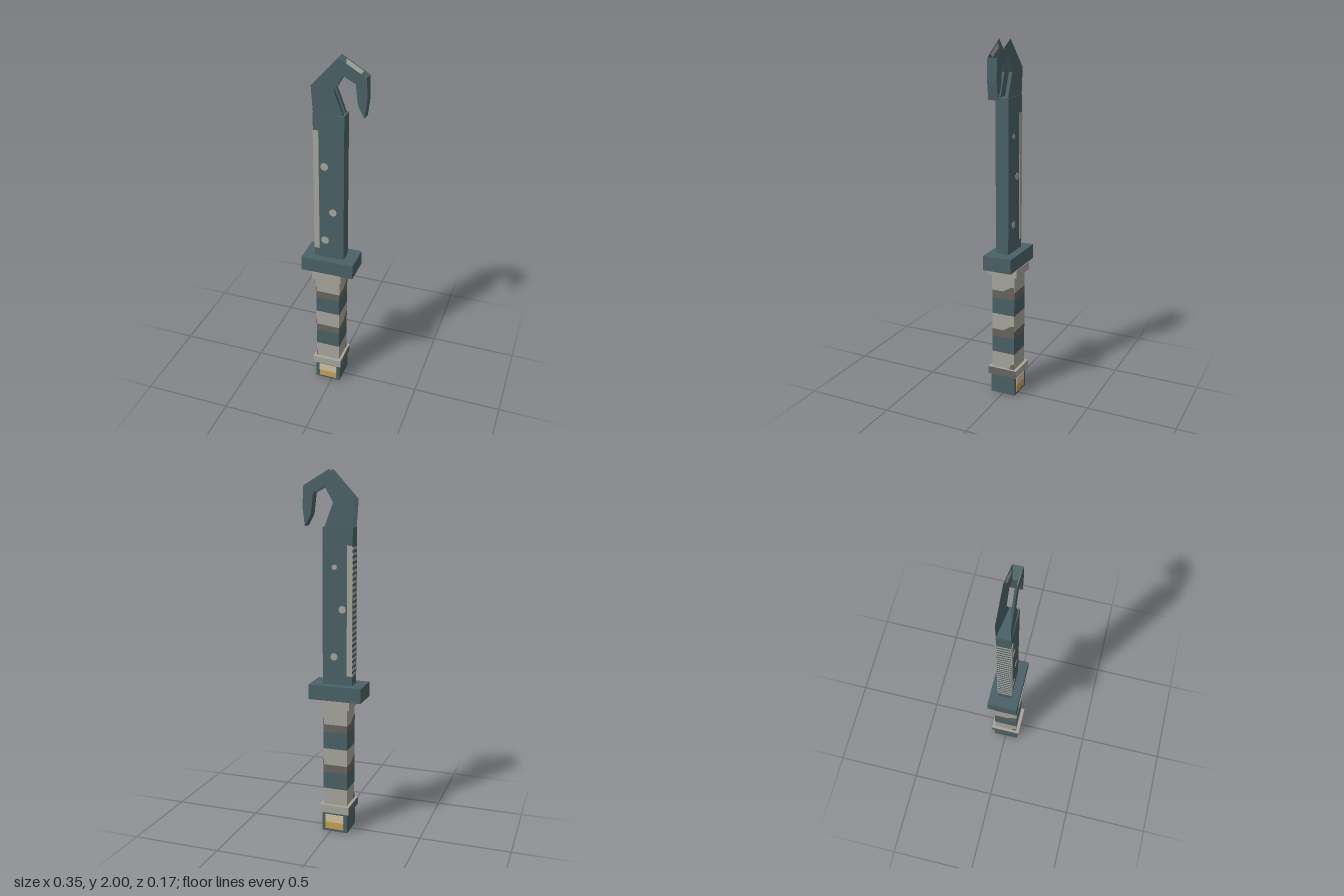
import * as THREE from 'three';

const mat = (name, color, side = THREE.FrontSide) => {
  const m = new THREE.MeshStandardMaterial({ color, side });
  m.name = name;
  return m;
};

export function createModel() {
  const steel = mat('blue grey steel', 0x4a6266);
  steel.side = THREE.DoubleSide;
  const pale = mat('pale grey wrap', 0xa6a59c, THREE.DoubleSide);
  const dark = mat('dark grey wrap', 0x67645d, THREE.DoubleSide);
  const cream = mat('cream', 0xd0c2a0);
  const gold = mat('gold', 0xc9a050);

  const model = new THREE.Group();
  model.name = 'hookedKnife';
  const add = (name, geo, material, parent = model) => {
    const m = new THREE.Mesh(geo, material);
    m.name = name;
    parent.add(m);
    return m;
  };
  // Box given by its limits on x and y, and half its depth in z
  const box = (name, x0, x1, y0, y1, hz, material, z = 0) => {
    const m = add(name, new THREE.BoxGeometry(x1 - x0, y1 - y0, hz * 2), material);
    m.position.set((x0 + x1) / 2, (y0 + y1) / 2, z);
    return m;
  };

  // Pommel with a two-tone plate on front and back
  box('pommel', -0.098, 0.05, 0, 0.115, 0.074, steel);
  for (const s of [1, -1]) {
    box('pommelPlateTop', -0.075, 0.03, 0.055, 0.1, 0.003, cream, s * 0.075);
    box('pommelPlateBottom', -0.075, 0.03, 0.015, 0.055, 0.003, gold, s * 0.075);
  }

  // Collars and guard
  box('lowerCollar', -0.11, 0.06, 0.115, 0.16, 0.087, [dark, dark, pale, dark, pale, pale]);
  box('upperCollar', -0.11, 0.06, 0.725, 0.77, 0.087, pale);
  box('guard', -0.173, 0.125, 0.77, 0.853, 0.083, steel);

  // Grip: stacked wrap bands
  const bands = [
    [0.16, 0.255, pale], [0.255, 0.35, steel], [0.35, 0.395, dark], [0.395, 0.49, pale],
    [0.49, 0.585, steel], [0.585, 0.63, dark], [0.63, 0.725, pale],
  ];
  for (const [y0, y1, m] of bands) box('gripBand', -0.093, 0.045, y0, y1, 0.068, m);

  // Dark swells rising along each side of the grip
  const swell = (y, u0, h) => {
    const s = new THREE.Shape();
    s.moveTo(u0, y);
    s.lineTo(0.068, y);
    s.lineTo(0.068, y + h);
    s.lineTo(0.05, y + h * 0.95);
    s.lineTo((u0 + 0.05) / 2, y + h * 0.5);
    return new THREE.ShapeGeometry(s);
  };
  for (const s of [1, -1]) {
    for (const [y, u0, h] of [[0.63, 0, 0.033], [0.395, 0, 0.033], [0.16, 0.036, 0.032]]) {
      const m = add('gripSwell', swell(y, u0, h), dark);
      m.rotation.y = s * Math.PI / 2;
      m.position.x = -0.024 + s * 0.0705;
    }
  }

  // Blade with a pale edge strip on both faces and a notched spine
  box('blade', -0.11, 0.058, 0.853, 1.703, 0.037, steel);
  for (const s of [1, -1]) box('edgeStrip', -0.11, -0.08, 0.905, 1.61, 0.002, pale, s * 0.038);
  for (let i = 0; i < 24; i++) {
    const y = 0.905 + i * 0.0297;
    box('spineNotch', -0.1115, -0.1095, y, y + 0.014, 0.037, pale);
  }

  // Round spots on the blade faces
  const spots = [
    [-0.05, 1.41, 0.022, 1], [-0.003, 1.143, 0.022, 1], [-0.048, 0.962, 0.023, 1],
    [-0.009, 1.495, 0.015, -1], [-0.053, 1.27, 0.021, -1], [-0.007, 1.008, 0.021, -1],
  ];
  for (const [x, y, r, s] of spots) {
    const m = add('bladeSpot', new THREE.CylinderGeometry(r, r, 0.003, 8), pale);
    m.rotation.x = Math.PI / 2;
    m.position.set(x, y, s * 0.0375);
  }

  // Hook: two wedge-shaped walls with an open groove, joined at the tip
  const outer = [[-0.108, 1.7], [-0.118, 1.848], [0.021, 2], [0.168, 1.915], [0.172, 1.8], [0.16, 1.705]];
  const inner = [[0.05, 1.7], [0, 1.83], [0.047, 1.913], [0.112, 1.878], [0.125, 1.767], [0.158, 1.706]];
  const wallZ = (x) => 0.0325 - 0.035 * x;
  const at = ([x, y], s, z = wallZ(x)) => new THREE.Vector3(x, y, s * z);
  const sheet = (quads) => {
    const p = [];
    for (const [a, b, c, d] of quads) for (const v of [a, b, c, a, c, d]) p.push(v.x, v.y, v.z);
    const g = new THREE.BufferGeometry();
    g.setAttribute('position', new THREE.Float32BufferAttribute(p, 3));
    g.computeVertexNormals();
    return g;
  };
  const groove = 0.012;
  for (const s of [1, -1]) {
    const quads = [];
    for (let i = 0; i < 5; i++) {
      const [o, p, q, n] = [outer[i], outer[i + 1], inner[i + 1], inner[i]];
      const face = [at(o, s), at(p, s), at(q, s), at(n, s)];
      quads.push(s > 0 ? face.reverse() : face);
      if (i < 3) {
        quads.push([at(o, s), at(p, s), at(q, s, groove), at(n, s, groove)]);
        quads.push([at(n, s), at(q, s), at(q, s, groove), at(n, s, groove)]);
      }
    }
    add('hookWall', sheet(quads), steel);

    // Pale streak on the groove slope beside the top edge
    const slope = (t, v) => {
      const a = at(outer[2], s).lerp(at(outer[3], s), t);
      const b = at(inner[2], s, groove).lerp(at(inner[3], s, groove), t);
      const r = a.lerp(b, v);
      r.z -= s * 0.0015;
      return r;
    };
    add('hookStreak', sheet([[slope(0.15, 0.06), slope(0.8, 0.06), slope(0.8, 0.4), slope(0.15, 0.4)]]), pale);
  }

  // Faces joining both walls around the hook tip
  const across = (a, b) => [at(a, 1), at(a, -1), at(b, -1), at(b, 1)];
  add('hookTip', sheet([
    across(outer[3], outer[4]), across(outer[4], outer[5]), across(outer[5], inner[5]),
    across(inner[5], inner[4]), across(inner[4], inner[3]), across(inner[3], outer[3]),
  ]), steel);

  return model;
}
